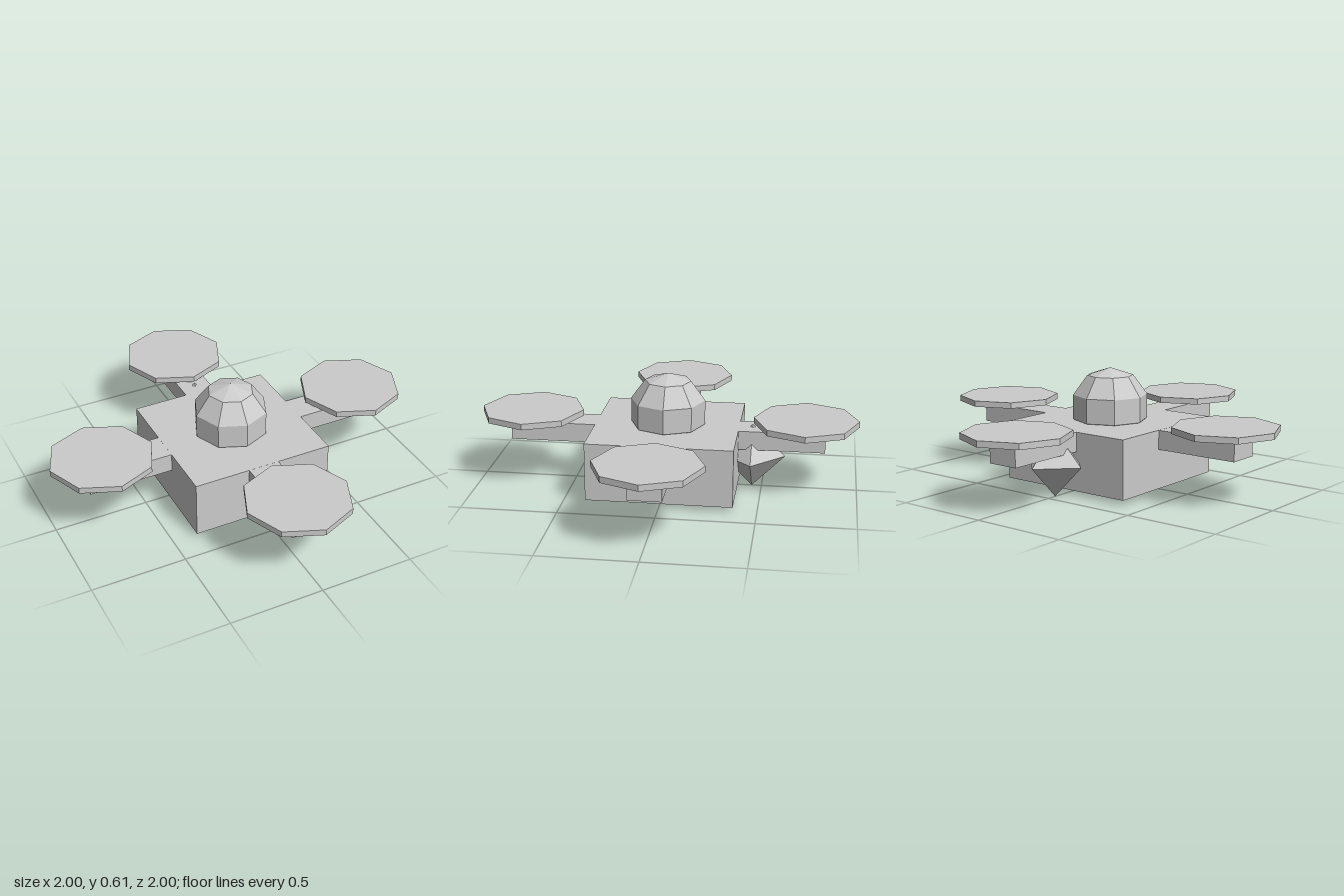
import * as THREE from 'three';

export function createModel() {
  const model = new THREE.Group();
  const material = new THREE.MeshStandardMaterial({ color: 0xcccccc, flatShading: true });

  const add = (parent, name, geometry, x, y, z) => {
    const mesh = new THREE.Mesh(geometry, material);
    mesh.name = name;
    mesh.position.set(x, y, z);
    parent.add(mesh);
  };

  // Square hull
  add(model, 'body', new THREE.BoxGeometry(0.756, 0.305, 0.756), 0, 0.178, 0);

  // Faceted dome, its lower part sunk into the hull
  add(model, 'dome', new THREE.SphereGeometry(0.206, 8, 5), 0, 0.399, 0);

  // Four arms, each with an octagonal rotor disc hovering above its end
  const armGeometry = new THREE.BoxGeometry(0.53, 0.1, 0.166);
  const rotorGeometry = new THREE.CylinderGeometry(0.274, 0.274, 0.032, 8);
  ['left', 'back', 'right', 'front'].forEach((side, i) => {
    const unit = new THREE.Group();
    unit.name = side + 'RotorUnit';
    add(unit, side + 'Arm', armGeometry, 0.563, 0.28, 0);
    add(unit, side + 'Rotor', rotorGeometry, 0.726, 0.366, 0);
    unit.rotation.y = i * Math.PI / 2;
    model.add(unit);
  });

  // Octahedral thruster under the back arm
  add(model, 'rearThruster', new THREE.OctahedronGeometry(0.172), 0, 0.172, -0.448);

  return model;
}
